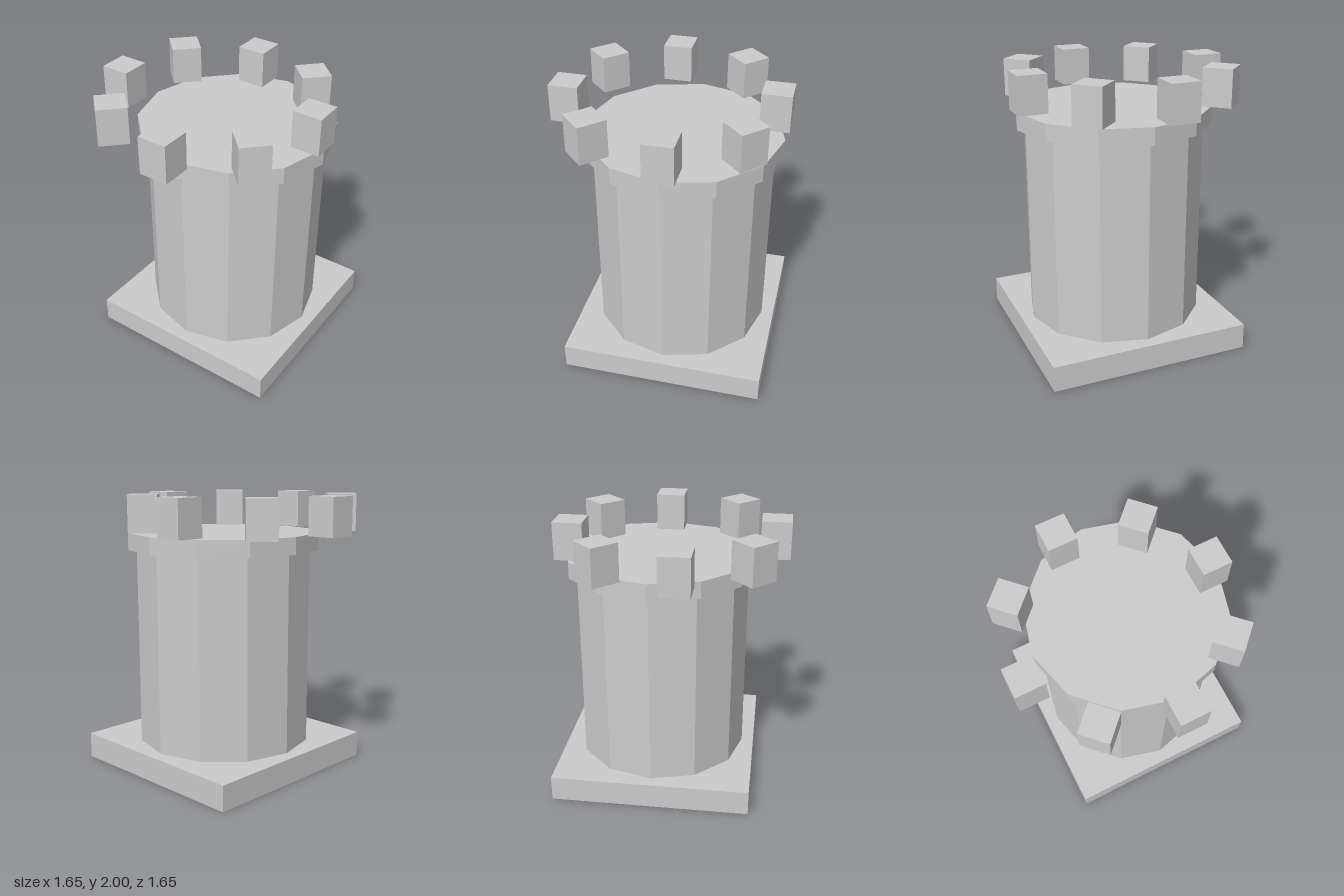
import * as THREE from 'three';

export function createModel() {
  const model = new THREE.Group();
  const material = new THREE.MeshStandardMaterial({ color: 0xcccccc, flatShading: true });

  const addPart = (parent, name, geometry, x, y, z) => {
    const mesh = new THREE.Mesh(geometry, material);
    mesh.name = name;
    mesh.position.set(x, y, z);
    parent.add(mesh);
  };

  // The base, tower and cap share an axis slightly off the origin
  const axisX = 0.097, axisZ = -0.103;
  addPart(model, 'base', new THREE.BoxGeometry(1.45, 0.185, 1.45), axisX, 0.0925, axisZ);
  addPart(model, 'towerWall', new THREE.CylinderGeometry(0.636, 0.636, 1.425, 12), axisX, 0.8975, axisZ);
  addPart(model, 'towerCap', new THREE.CylinderGeometry(0.696, 0.696, 0.12, 12), axisX, 1.67, axisZ);

  // Eight battlement blocks, each offset sideways from its spoke
  const battlements = new THREE.Group();
  battlements.name = 'battlements';
  battlements.position.set(-0.008, 1.865, 0.003);
  const block = new THREE.BoxGeometry(0.21, 0.27, 0.21);
  for (let i = 0; i < 8; i++) {
    const spoke = new THREE.Group();
    spoke.name = 'battlementSpoke';
    spoke.rotation.y = -i * Math.PI / 4;
    addPart(spoke, 'battlementBlock', block, 0.713, 0, -0.105);
    battlements.add(spoke);
  }
  model.add(battlements);

  return model;
}
